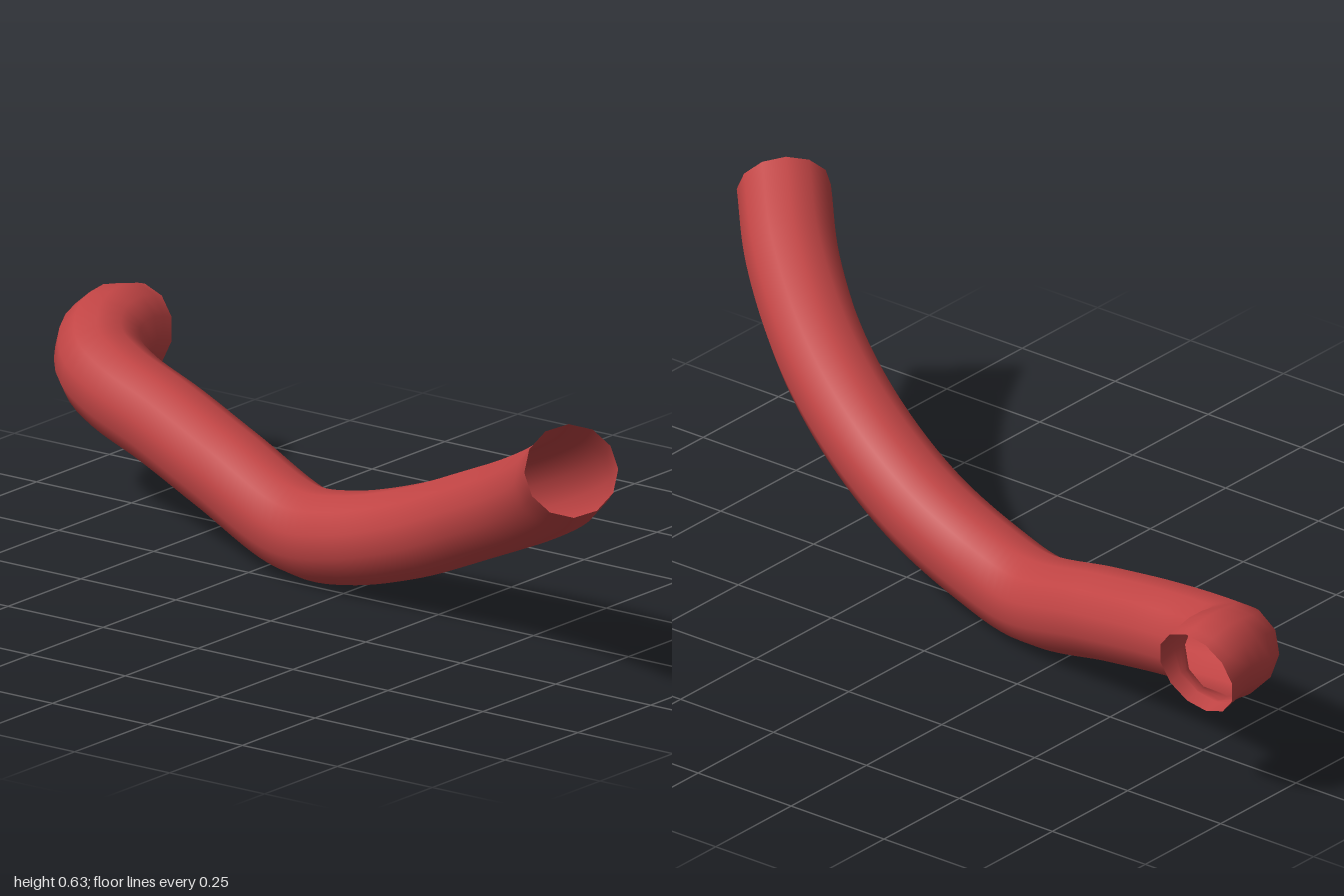
import * as THREE from 'three';

export function createModel() {
  const model = new THREE.Group();
  model.name = 'bentPipe';
  const red = new THREE.MeshStandardMaterial({ color: 0xc04444, side: THREE.DoubleSide });
  red.name = 'red';

  // Centre line, from the raised front end to the hooked back end
  const path = new THREE.CatmullRomCurve3([
    [0.925, 0.545, 0.425],
    [0.8, 0.464, 0.3],
    [0.6, 0.358, 0.155],
    [0.4, 0.266, 0.058],
    [0.2, 0.18, 0.002],
    [0, 0.12, -0.03],
    [-0.15, 0.103, -0.06],
    [-0.4, 0.168, -0.128],
    [-0.6, 0.22, -0.186],
    [-0.76, 0.255, -0.232],
    [-0.845, 0.281, -0.275],
    [-0.889, 0.31, -0.335],
    [-0.899, 0.322, -0.4],
    [-0.898, 0.308, -0.455],
  ].map((p) => new THREE.Vector3(...p)));

  // Hollow pipe, open at both ends
  const pipe = new THREE.Mesh(new THREE.TubeGeometry(path, 80, 0.099, 12, false), red);
  pipe.name = 'pipe';
  model.add(pipe);
  return model;
}
